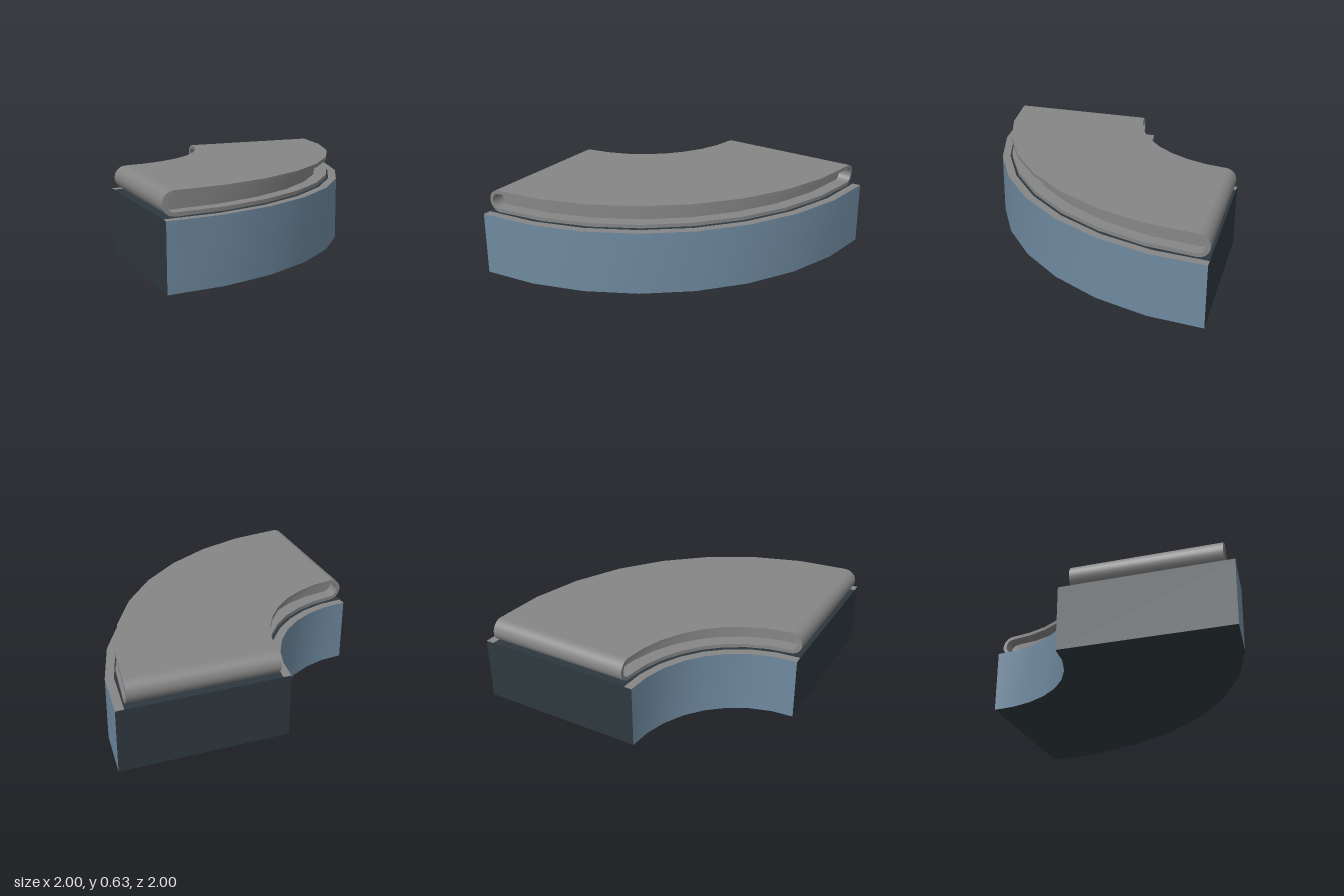
import * as THREE from 'three';
import { mergeGeometries } from 'three/addons/utils/BufferGeometryUtils.js';

const SEGMENTS = 8;               // facets along the quarter turn
const R_IN = 0.81, R_OUT = 2;     // base radii about the corner (-1, -1)
const BASE_TOP = 0.46;
const BELT_IN = 0.885, BELT_OUT = 1.925;
const BELT_Y = 0.548, BELT_HALF = 0.082, BELT_THICK = 0.026;
const RECESS = 0.095;             // how far the core sits inside the belt edges

// Point on the bend: radius, angle and height
const at = (r, a, y) => [-1 + r * Math.sin(a), y, -1 + r * Math.cos(a)];

function arc(r, y) {
  return Array.from({ length: SEGMENTS + 1 }, (_, i) => at(r, (i / SEGMENTS) * Math.PI / 2, y));
}

// Skin of quads between two rows of points
function strip(a, b, closed = false) {
  const n = a.length, index = [];
  for (let i = 0; i < (closed ? n : n - 1); i++) {
    const j = (i + 1) % n;
    index.push(i, j, n + j, i, n + j, n + i);
  }
  const g = new THREE.BufferGeometry();
  g.setAttribute('position', new THREE.Float32BufferAttribute([...a, ...b].flat(), 3));
  g.setIndex(index);
  g.computeVertexNormals();
  return g;
}

// Lower (side -1) or upper (side 1) half of the belt outline at one radius
function beltHalf(r, inset, side) {
  const h = BELT_HALF - inset, steps = 6, pts = [];
  const ends = [];
  for (let i = 0; i <= steps; i++) {
    const t = (i / steps) * Math.PI / 2;
    ends.push([Math.asin((BELT_HALF - h * Math.cos(t)) / r), BELT_Y + side * h * Math.sin(t)]);
  }
  for (const [a, y] of ends) pts.push(at(r, a, y));
  const a0 = ends[steps][0], a1 = Math.PI / 2 - a0;
  for (let i = 1; i < SEGMENTS; i++) {
    pts.push(at(r, a0 + (a1 - a0) * i / SEGMENTS, BELT_Y + side * h));
  }
  for (const [a, y] of ends.reverse()) pts.push(at(r, Math.PI / 2 - a, y));
  return pts;
}

function beltLoop(r, inset) {
  return [...beltHalf(r, inset, -1), ...beltHalf(r, inset, 1).slice(1, -1).reverse()];
}

export function createModel() {
  const group = new THREE.Group();
  const blue = new THREE.MeshStandardMaterial({ color: 0x6f8aa0 });
  blue.name = 'steel blue';
  const dark = new THREE.MeshStandardMaterial({ color: 0x2e383e });
  dark.name = 'dark slate';
  const grey = new THREE.MeshStandardMaterial({ color: 0x868686 });
  grey.name = 'belt grey';

  const add = (name, material, ...parts) => {
    const mesh = new THREE.Mesh(mergeGeometries(parts), material);
    mesh.name = name;
    group.add(mesh);
  };

  // Curved side walls of the base
  add('baseSides', blue,
    strip(arc(R_OUT, 0), arc(R_OUT, BASE_TOP)),
    strip(arc(R_IN, BASE_TOP), arc(R_IN, 0)));

  // Flat ends, underside and the bed below the belt
  const endRow = (a, y) => [at(R_IN, a, y), at(R_OUT, a, y)];
  const quarter = Math.PI / 2;
  const rimIn = 0.868, rimOut = 1.94;
  add('baseEndsAndBed', dark,
    strip(endRow(0, 0), endRow(0, BASE_TOP)),
    strip(endRow(quarter, 0).reverse(), endRow(quarter, BASE_TOP).reverse()),
    strip(arc(R_IN, 0), arc(R_OUT, 0)),
    strip(arc(rimOut, BASE_TOP), arc(rimIn, BASE_TOP)));

  // Grey rims along both edges of the base top
  add('baseRims', grey,
    strip(arc(R_OUT, BASE_TOP), arc(rimOut, BASE_TOP)),
    strip(arc(rimIn, BASE_TOP), arc(R_IN, BASE_TOP)));

  // Belt wrapped round both ends, with open edges
  const coreIn = BELT_IN + RECESS, coreOut = BELT_OUT - RECESS;
  const T = BELT_THICK;
  add('belt', grey,
    strip(beltLoop(BELT_IN, 0), beltLoop(BELT_OUT, 0), true),
    strip(beltLoop(BELT_OUT, 0), beltLoop(BELT_OUT, T), true),
    strip(beltLoop(BELT_OUT, T), beltLoop(coreOut, T), true),
    strip(beltLoop(BELT_IN, T), beltLoop(BELT_IN, 0), true),
    strip(beltLoop(coreIn, T), beltLoop(BELT_IN, T), true));

  // Core walls set back inside the belt
  add('beltCore', grey,
    strip(beltHalf(coreOut, T, -1), beltHalf(coreOut, T, 1)),
    strip(beltHalf(coreIn, T, 1), beltHalf(coreIn, T, -1)));

  return group;
}
